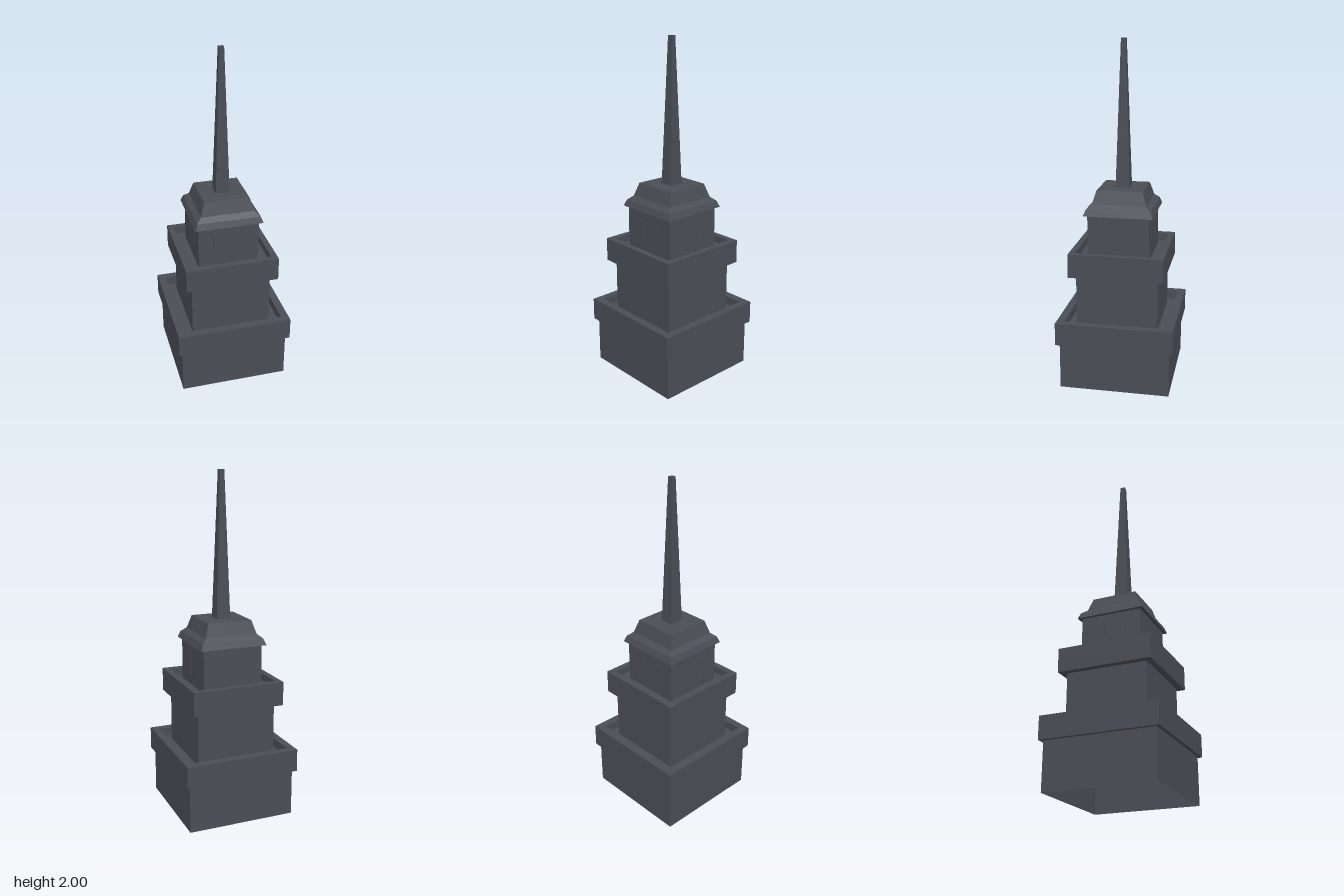
import * as THREE from 'three';

const stone = new THREE.MeshStandardMaterial({ color: 0x4a4d55, flatShading: true, side: THREE.DoubleSide });

// Square shell swept from [half width, height] points, listed from bottom to top
function squareShell(name, profile) {
  const points = profile.map(([half, y]) => new THREE.Vector2(half * Math.SQRT2, y));
  const mesh = new THREE.Mesh(new THREE.LatheGeometry(points, 4, Math.PI / 4).toNonIndexed(), stone);
  mesh.geometry.computeVertexNormals();
  mesh.name = name;
  return mesh;
}

// Overhanging parapet with a sunken terrace floor
function terrace(name, wall, outer, inner, bottom, top, floor) {
  return squareShell(name, [[wall, bottom], [outer, bottom], [outer, top], [inner, top], [inner, floor], [0, floor]]);
}

export function createModel() {
  const tower = new THREE.Group();
  tower.name = 'steppedTower';

  // Tiers, open underneath
  tower.add(squareShell('baseWalls', [[0.32, 0], [0.32, 0.275]]));
  tower.add(terrace('lowerTerrace', 0.32, 0.341, 0.295, 0.275, 0.408, 0.355));
  tower.add(squareShell('middleWalls', [[0.236, 0.355], [0.236, 0.67]]));
  tower.add(terrace('upperTerrace', 0.236, 0.275, 0.239, 0.67, 0.81, 0.765));
  tower.add(squareShell('upperWalls', [[0.179, 0.765], [0.179, 1.018]]));

  // Flared roof and tapering spire
  tower.add(squareShell('roof', [
    [0.179, 1.018], [0.2, 1.018], [0.186, 1.055], [0.157, 1.08], [0.133, 1.158], [0, 1.158],
  ]));
  tower.add(squareShell('spire', [[0.041, 1.158], [0.014, 2], [0, 2]]));

  // A pair of shallow window panels on each upper wall
  for (let side = 0; side < 4; side++) {
    const windows = new THREE.Group();
    windows.name = 'windowPair';
    for (const x of [-0.06, 0.06]) {
      const pane = new THREE.Mesh(new THREE.BoxGeometry(0.06, 0.13, 0.004), stone);
      pane.name = 'window';
      pane.position.set(x, 0.895, 0.179);
      windows.add(pane);
    }
    windows.rotation.y = side * Math.PI / 2;
    tower.add(windows);
  }
  return tower;
}
